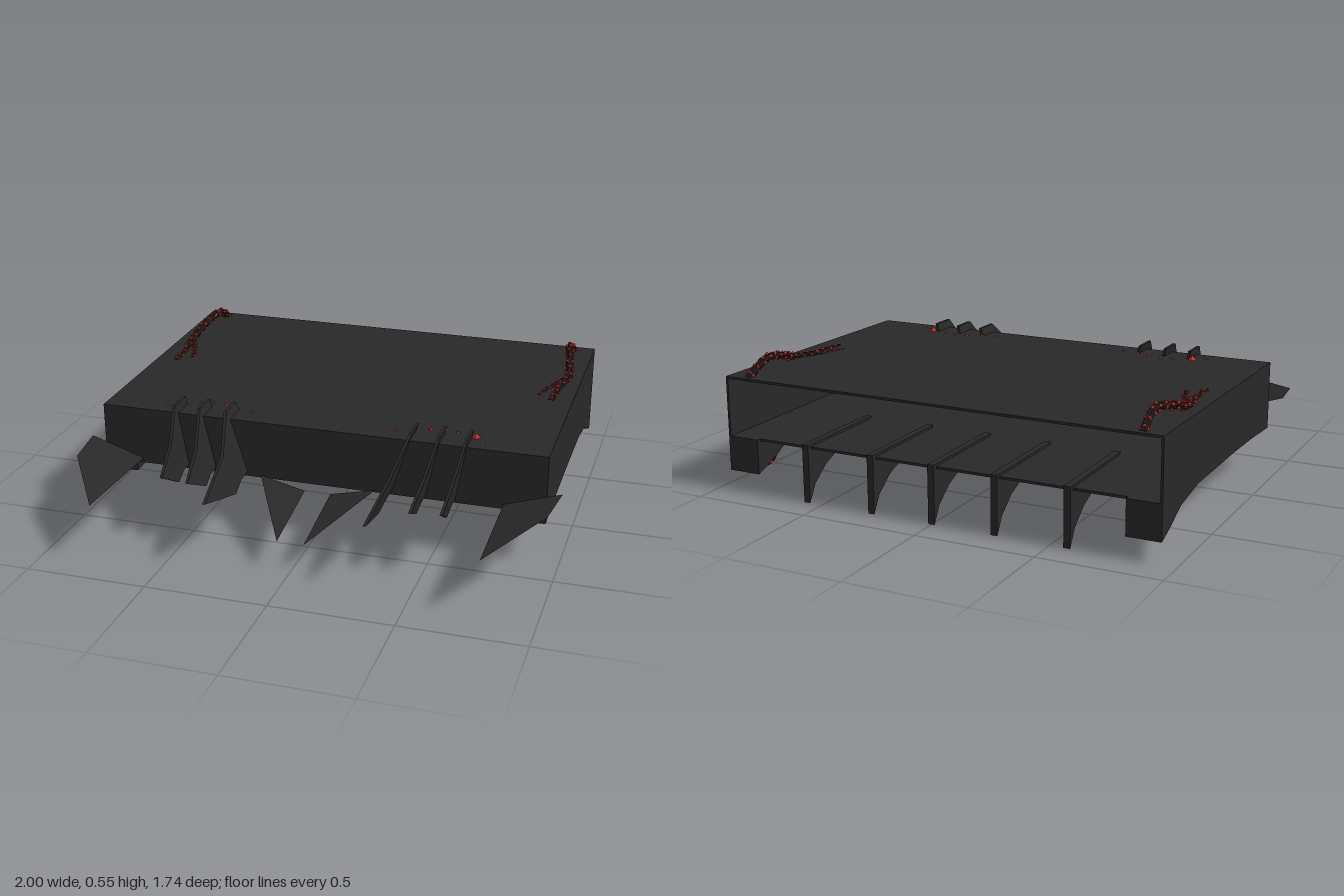
import * as THREE from 'three';

export function createModel() {
  const root = new THREE.Group();
  const shell = new THREE.MeshStandardMaterial({ name: 'charcoal', color: 0x282828, side: THREE.DoubleSide, flatShading: true });
  const vine = new THREE.MeshStandardMaterial({ name: 'black vine', color: 0x181818, flatShading: true });
  const red = new THREE.MeshStandardMaterial({ name: 'ember red', color: 0xd0302a, flatShading: true });

  const add = (name, geo, mat, parent = root) => {
    const m = new THREE.Mesh(geo, mat);
    m.name = name;
    parent.add(m);
    return m;
  };

  // Slab with a (z, y) outline, spanning x0..x1
  const slab = (pts, x0, x1) => {
    const shape = new THREE.Shape(pts.map(p => new THREE.Vector2(p[0], p[1])));
    const g = new THREE.ExtrudeGeometry(shape, { depth: x1 - x0, bevelEnabled: false });
    return g.rotateY(-Math.PI / 2).translate(x1, 0, 0);
  };

  // Flat blade from a fan of 3D corners
  const blade = pts => {
    const g = new THREE.BufferGeometry();
    g.setAttribute('position', new THREE.Float32BufferAttribute(pts.flat(), 3));
    const idx = [];
    for (let i = 1; i < pts.length - 1; i++) idx.push(0, i, i + 1);
    g.setIndex(idx);
    g.computeVertexNormals();
    return g;
  };

  // Hollow body: roof, front wall and floor, open at the back
  add('roof', slab([[0.37, 0.465], [-0.87, 0.48], [-0.87, 0.47], [0.37, 0.455]], -0.94, 0.94), shell);
  add('frontWall', slab([[0.37, 0.22], [0.37, 0.465], [0.36, 0.465], [0.36, 0.22]], -0.94, 0.94), shell);
  add('floor', slab([[0.37, 0.22], [0.37, 0.23], [-0.85, 0.23], [-0.85, 0.22]], -0.93, 0.93), shell);

  // Hanging ribs at the back
  const rib = [[-0.87, 0.24], [-0.4, 0.24], [-0.45, 0.2], [-0.62, 0.18], [-0.75, 0.13], [-0.83, 0.07], [-0.87, 0]];
  for (const x of [-0.57, -0.27, 0, 0.27, 0.57]) add('backRib', slab(rib, x - 0.014, x + 0.014), shell);

  // Sweeping underside shared by side wall and rail
  const under = [[-0.87, 0.085], [-0.8, 0.11], [-0.68, 0.165], [-0.5, 0.193], [-0.1, 0.195], [0.15, 0.19], [0.37, 0.178]];

  // Vine tube with rings of red nodules set into its skin
  const addVine = (name, pts, r, rings, s) => {
    const group = new THREE.Group();
    group.name = name;
    const curve = new THREE.CatmullRomCurve3(pts.map(p => new THREE.Vector3(s * p[0], p[1], p[2])));
    add('stem', new THREE.TubeGeometry(curve, 24, r, 6), vine, group);
    const alongX = Math.abs(curve.getTangent(0.5).x) > 0.7;
    for (let i = 0; i < rings; i++) {
      const p = curve.getPointAt((i + 0.5) / rings);
      for (let j = 0; j < 4; j++) {
        const a = i * 0.9 + j * Math.PI / 2;
        const side = Math.cos(a) * r * 0.8;
        const nodule = add('nodule', new THREE.OctahedronGeometry(r * 0.72), red, group);
        nodule.position.set(p.x + (alongX ? 0 : side), p.y + Math.sin(a) * r * 0.8, p.z + (alongX ? side : 0));
        nodule.rotation.set(i, j, i + j);
      }
    }
    root.add(group);
  };

  for (const s of [1, -1]) {
    const span = (pts, a, b) => (s > 0 ? slab(pts, a, b) : slab(pts, -b, -a));

    add('sideWall', span([...under, [0.37, 0.465], [-0.87, 0.48]], 0.93, 0.94), shell);
    add('sideRail', span([...under, [0.37, 0.23], [-0.87, 0.23]], 0.8, 0.93), shell);

    // Wide outer tusk and smaller inner tusk
    add('outerTusk', blade([[0.77 * s, 0.24, 0.37], [s, 0.315, 0.37], [0.975 * s, 0.308, 0.57], [0.78 * s, 0.245, 0.865]]), shell);
    add('innerTusk', blade([[0.245 * s, 0.23, 0.37], [0.055 * s, 0.185, 0.37], [0.055 * s, 0.125, 0.72]]), shell);

    // Three leaning hooked claws: x at y = 0.21, x at y = 0.5, tip z
    for (const [x0, x1, tip] of [[0.3, 0.39, 0.8], [0.443, 0.505, 0.645], [0.565, 0.615, 0.625]]) {
      const k = (tip - 0.37) / 0.43;
      const z = v => 0.37 + (v - 0.37) * (0.4 + 0.6 * k);
      const g = span([[0.27, 0.46], [0.27, 0.5], [0.38, 0.5], [z(0.53), 0.37], [tip, 0.285],
        [z(0.53), 0.21], [z(0.45), 0.235], [0.36, 0.24], [0.36, 0.46]], -0.006, 0.006);
      const pos = g.attributes.position;
      for (let i = 0; i < pos.count; i++) {
        const t = (pos.getY(i) - 0.21) / 0.29;
        pos.setX(i, pos.getX(i) + s * (x0 + (x1 - x0) * t));
      }
      g.computeVertexNormals();
      add('claw', g, shell);
    }

    // Vines over the roof, under the rails and under the front edge
    addVine('roofVine', [[0.85, 0.47, -0.85], [0.845, 0.53, -0.73], [0.865, 0.515, -0.6],
      [0.88, 0.48, -0.47], [0.86, 0.468, -0.35], [0.85, 0.463, -0.19]], 0.016, 15, s);
    addVine('roofVineBranch', [[0.875, 0.478, -0.46], [0.82, 0.468, -0.34], [0.79, 0.464, -0.24]], 0.012, 6, s);
    addVine('railVine', [[0.86, 0.11, -0.85], [0.85, 0.1, -0.73], [0.87, 0.125, -0.65],
      [0.88, 0.165, -0.55], [0.87, 0.197, -0.43], [0.85, 0.197, -0.2]], 0.016, 15, s);
    addVine('frontVine', [[0.28, 0.22, 0.29], [0.4, 0.207, 0.26], [0.52, 0.203, 0.23],
      [0.65, 0.213, 0.26], [0.8, 0.225, 0.29]], 0.014, 12, s);

    // Nodules breaking through the roof behind the claws: x, z, radius
    for (const [x, z, r] of [[0.63, 0.265, 0.02], [0.55, 0.24, 0.009], [0.5, 0.23, 0.009],
      [0.44, 0.24, 0.011], [0.38, 0.265, 0.009], [0.31, 0.285, 0.008], [0.68, 0.3, 0.008]]) {
      const bud = add('roofNodule', new THREE.OctahedronGeometry(r), red);
      bud.position.set(x * s, 0.466, z);
    }
  }
  return root;
}
